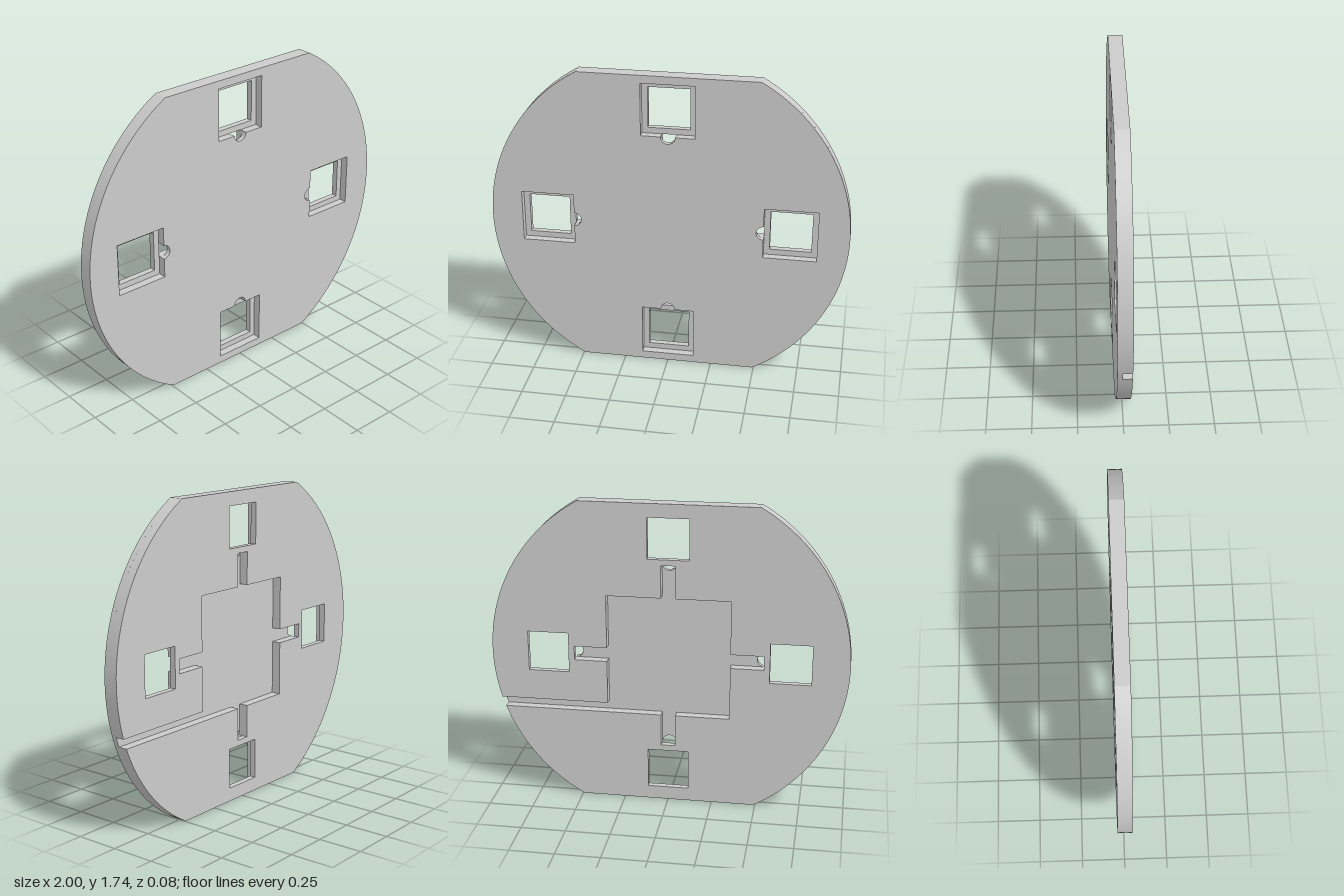
import * as THREE from 'three';
import { toCreasedNormals } from 'three/addons/utils/BufferGeometryUtils.js';

const MID = 0.87;               // plate centre height, also half the flat-to-flat height
const FLAT = Math.asin(MID);    // angle at which the round rim meets a flat
const Z = { back: -0.04, ledge: -0.005, pocket: 0.012, front: 0.04 };
const POCKET = 0.345, CHANNEL = -0.29, ARM = 0.04, TIP = 0.53;
const WINDOW = 0.678, INNER = 0.115, OUTER = 0.148;

const arc = (a, b, n, r = 1, cx = 0) => Array.from({ length: n + 1 }, (_, i) => {
  const t = a + (b - a) * i / n;
  return new THREE.Vector2(cx + r * Math.cos(t), r * Math.sin(t));
});
const points = list => list.map(([x, y]) => new THREE.Vector2(x, y));
const turn = (pts, k) => pts.map(p => p.clone().rotateAround(new THREE.Vector2(), k * Math.PI / 2));
const fourWays = pts => [0, 1, 2, 3].map(k => turn(pts, k));

// Rim from angle a round to angle b (just below a full turn), with flat top and bottom
function rim(a, b) {
  return [
    ...arc(a, FLAT, 40),
    ...arc(Math.PI - FLAT, Math.PI + FLAT, 60),
    ...arc(2 * Math.PI - FLAT, 2 * Math.PI + b, 20),
  ];
}

// Plate outline cut by the square pocket, its four arms and the side channel
function pocketOutline(arm) {
  const pocket = fourWays(points([
    [POCKET, -POCKET], [POCKET, -ARM], [TIP, -ARM], ...arm, [TIP, ARM], [POCKET, ARM],
  ])).flat();
  pocket[0].y = CHANNEL;
  pocket.push(new THREE.Vector2(POCKET, -POCKET));
  return [...rim(Math.asin(CHANNEL), Math.asin(-POCKET)), ...pocket.reverse()];
}

function layer(name, outline, holes, z0, z1, material) {
  const shape = new THREE.Shape(outline);
  shape.holes = holes.map(h => new THREE.Path(h));
  const geometry = new THREE.ExtrudeGeometry(shape, { depth: z1 - z0, bevelEnabled: false });
  geometry.translate(0, MID, z0);
  const mesh = new THREE.Mesh(toCreasedNormals(geometry, 0.4), material);
  mesh.name = name;
  return mesh;
}

export function createModel() {
  const group = new THREE.Group();
  group.name = 'mountingPlate';
  const material = new THREE.MeshStandardMaterial({ color: 0xcccccc });

  // Back: through windows and the open wiring pocket
  const windows = fourWays(points([
    [WINDOW - INNER, -INNER], [WINDOW + INNER, -INNER],
    [WINDOW + INNER, INNER], [WINDOW - INNER, INNER],
  ]));
  group.add(layer('backLayer', pocketOutline([]), windows, Z.back, Z.ledge, material));

  // Middle: the pocket arms open into the wider window recesses
  const recess = [[TIP, -OUTER], [WINDOW + OUTER, -OUTER], [WINDOW + OUTER, OUTER], [TIP, OUTER]];
  group.add(layer('middleLayer', pocketOutline(recess), [], Z.ledge, Z.pocket, material));

  // Front: window recesses, each with a half-round wire notch facing the centre
  const notched = fourWays([
    ...points(recess), ...arc(Math.PI / 2, Math.PI * 1.5, 16, ARM, TIP),
  ]);
  const full = [...arc(-FLAT, FLAT, 60), ...arc(Math.PI - FLAT, Math.PI + FLAT, 60)];
  group.add(layer('frontLayer', full, notched, Z.pocket, Z.front, material));

  return group;
}
